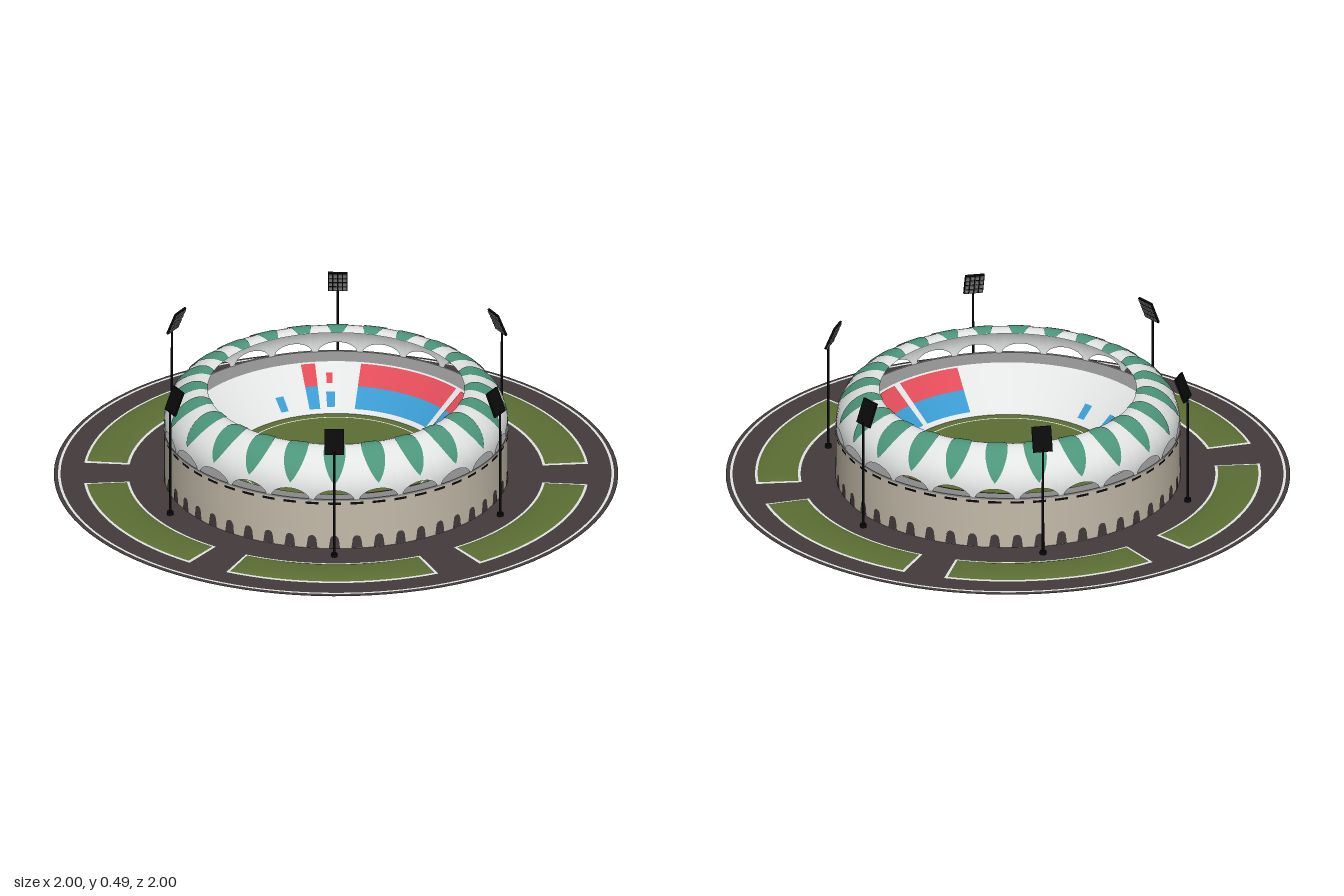
import * as THREE from 'three';
import { mergeGeometries, mergeVertices } from 'three/addons/utils/BufferGeometryUtils.js';

const mat = (name, color) => new THREE.MeshStandardMaterial({ name, color, side: THREE.DoubleSide });
const asphalt = mat('asphalt', 0x443c3c);
const white = mat('white', 0xe2e4e4);
const grass = mat('grass', 0x5c6e34);
const green = mat('roofGreen', 0x4c967b);
const beige = mat('beigeWall', 0xc4bbaa);
const blue = mat('blueSeats', 0x3a9ad0);
const red = mat('redSeats', 0xe04c58);
const black = mat('black', 0x0a0a0a);
const grey = mat('grey', 0x8e8e8e);

const DEG = Math.PI / 180;

// Point at angle a (degrees, counter-clockwise seen from above)
const polar = (r, y, a) => [r * Math.cos(a * DEG), y, -r * Math.sin(a * DEG)];

// Grid surface from a rule fn(u, v) -> [x, y, z]
function surface(fn, nu, nv) {
  const pos = [], idx = [];
  for (let i = 0; i <= nu; i++) {
    for (let j = 0; j <= nv; j++) {
      pos.push(...fn(i / nu, j / nv));
      if (i < nu && j < nv) {
        const p = i * (nv + 1) + j, q = p + nv + 1;
        idx.push(p, q, p + 1, q, q + 1, p + 1);
      }
    }
  }
  const g = new THREE.BufferGeometry();
  g.setAttribute('position', new THREE.Float32BufferAttribute(pos, 3));
  g.setIndex(idx);
  const merged = mergeVertices(g, 1e-5);
  merged.computeVertexNormals();
  return merged;
}

// Strip between two (r, y) points over an angle range
const sector = (p, q, a0, a1) => surface((u, v) =>
  polar(p[0] + (q[0] - p[0]) * v, p[1] + (q[1] - p[1]) * v, a0 + (a1 - a0) * u),
  Math.max(2, Math.ceil(Math.abs(a1 - a0) / 3)), 1);

export function createModel() {
  const model = new THREE.Group();
  model.name = 'stadium';
  const add = (name, geo, material, parent = model) => {
    const m = new THREE.Mesh(geo, material);
    m.name = name;
    parent.add(m);
    return m;
  };
  const ring = (name, p, q, material) => add(name, sector(p, q, 0, 360), material);

  // Ground plate with a painted edge line
  add('ground', new THREE.CircleGeometry(1, 96).rotateX(-Math.PI / 2), asphalt);
  ring('edgeLine', [0.976, 0.002], [0.985, 0.002], white);

  // Six lawns, slightly mounded, with white kerbs
  for (const [a0, a1] of [[-25, 25], [35.5, 85.3], [94.7, 144.5], [155, 205], [215.5, 265.3], [274.7, 324.5]]) {
    add('lawnKerb', sector([0.733, 0.003], [0.898, 0.003], a0, a1), white);
    add('lawn', surface((u, v) => {
      const h = Math.pow(Math.sin(Math.PI * u), 0.3) * Math.pow(Math.max(0, Math.sin(Math.PI * v)), 0.5);
      return polar(0.744 + 0.143 * v, 0.004 + 0.009 * (h || 0), a0 + 0.8 + (a1 - a0 - 1.6) * u);
    }, 30, 10), grass);
  }

  // Outer wall, walkway and rim
  ring('outerWall', [0.61, 0], [0.61, 0.19], beige);
  ring('walkway', [0.545, 0.182], [0.61, 0.19], grey);
  ring('wallRim', [0.612, 0.187], [0.612, 0.194], grey);

  // Doorways round the foot of the wall
  const door = new THREE.Shape();
  door.moveTo(-0.02, 0.002);
  door.lineTo(0.02, 0.002);
  door.lineTo(0.016, 0.036);
  door.absarc(0, 0.036, 0.015, 0, Math.PI, false);
  door.lineTo(-0.02, 0.002);
  const doors = [], slots = [];
  for (let i = 0; i < 48; i++) {
    doors.push(new THREE.ShapeGeometry(door, 6).rotateY(Math.PI / 2).translate(0.6115, 0, 0).rotateY(i * 7.5 * DEG));
    slots.push(sector([0.6118, 0.173], [0.6118, 0.182], i * 7.5 - 2.2, i * 7.5 + 2.2));
  }
  add('doorways', mergeGeometries(doors), asphalt);
  add('ventSlots', mergeGeometries(slots), black);

  // Field and boundary line
  add('field', new THREE.CircleGeometry(0.388, 72).rotateX(-Math.PI / 2).translate(0, 0.052, 0), grass);
  ring('boundaryLine', [0.35, 0.054], [0.355, 0.054], white);

  // Sloping stand, with coloured seat blocks laid on it
  const low = [0.386, 0.05], high = [0.545, 0.182];
  ring('stand', low, high, white);
  const onStand = t => [low[0] + (high[0] - low[0]) * t - 0.002, low[1] + (high[1] - low[1]) * t + 0.003];
  const seats = (name, a0, a1, t0, t1, material) => add(name, sector(onStand(t0), onStand(t1), a0, a1), material);
  for (const [a0, a1] of [[68, 111], [46, 65], [-22, 13], [-51, -25], [128.5, 134]]) {
    seats('lowerSeats', a0, a1, 0.1, 0.53, blue);
    seats('upperSeats', a0, a1, 0.53, 0.96, red);
  }
  for (const a of [147, 123, 40, 33, 20, 201, 205, 221, 227, 234, 250]) {
    seats('seatCluster', a - 2, a + 2, 0.13, 0.42, blue);
  }
  seats('upperSeatCluster', 122, 124.5, 0.58, 0.78, red);

  // Domed ring roof, its lower edge cut into 24 arches
  const profile = new THREE.SplineCurve([[0.608, 0.19], [0.608, 0.23], [0.592, 0.275], [0.557, 0.315],
    [0.515, 0.339], [0.482, 0.345], [0.455, 0.337]].map(p => new THREE.Vector2(...p)));
  const edge = a => {
    const d = (((a + 7.5) % 15) - 7.5) / 6.7;
    return Math.abs(d) < 1 ? 0.155 * Math.sqrt(1 - d * d) : 0;
  };
  add('roof', surface((u, v) => {
    const a = u * 360, s = edge(a);
    const p = profile.getPoint(s + (1 - s) * v);
    return polar(p.x, p.y, a);
  }, 24 * 20, 16), white);

  // Pointed green stripes lying on the roof
  const stripes = [];
  for (let i = 0; i < 24; i++) {
    stripes.push(surface((u, v) => {
      const s = 0.23 + 0.77 * v;
      const p = profile.getPoint(s), t = profile.getTangent(s);
      const half = 4.3 * Math.sin(Math.PI * 0.8 * Math.pow(v, 0.85));
      return polar(p.x + t.y * 0.003, p.y - t.x * 0.003, i * 15 + half * (2 * u - 1));
    }, 4, 16));
  }
  add('roofStripes', mergeGeometries(stripes), green);

  // Six floodlights leaning in over the roof
  for (let i = 0; i < 6; i++) {
    const light = new THREE.Group();
    light.name = 'floodlight';
    light.rotation.y = i * 60 * DEG;
    model.add(light);
    add('pole', new THREE.CylinderGeometry(0.004, 0.005, 0.41, 8).translate(0.675, 0.205, 0), black, light);
    add('poleFoot', new THREE.CylinderGeometry(0.012, 0.012, 0.012, 8).translate(0.675, 0.007, 0), black, light);
    const head = new THREE.Group();
    head.name = 'lampHead';
    head.position.set(0.657, 0.442, 0);
    head.rotation.z = 0.39;
    light.add(head);
    add('lampPanel', new THREE.BoxGeometry(0.008, 0.092, 0.07), black, head);
    const lamps = [];
    for (let r = 0; r < 4; r++) {
      for (let c = 0; c < 4; c++) {
        lamps.push(new THREE.BoxGeometry(0.004, 0.015, 0.012).translate(-0.005, (r - 1.5) * 0.022, (c - 1.5) * 0.017));
      }
    }
    add('lamps', mergeGeometries(lamps), grey, head);
  }
  return model;
}
